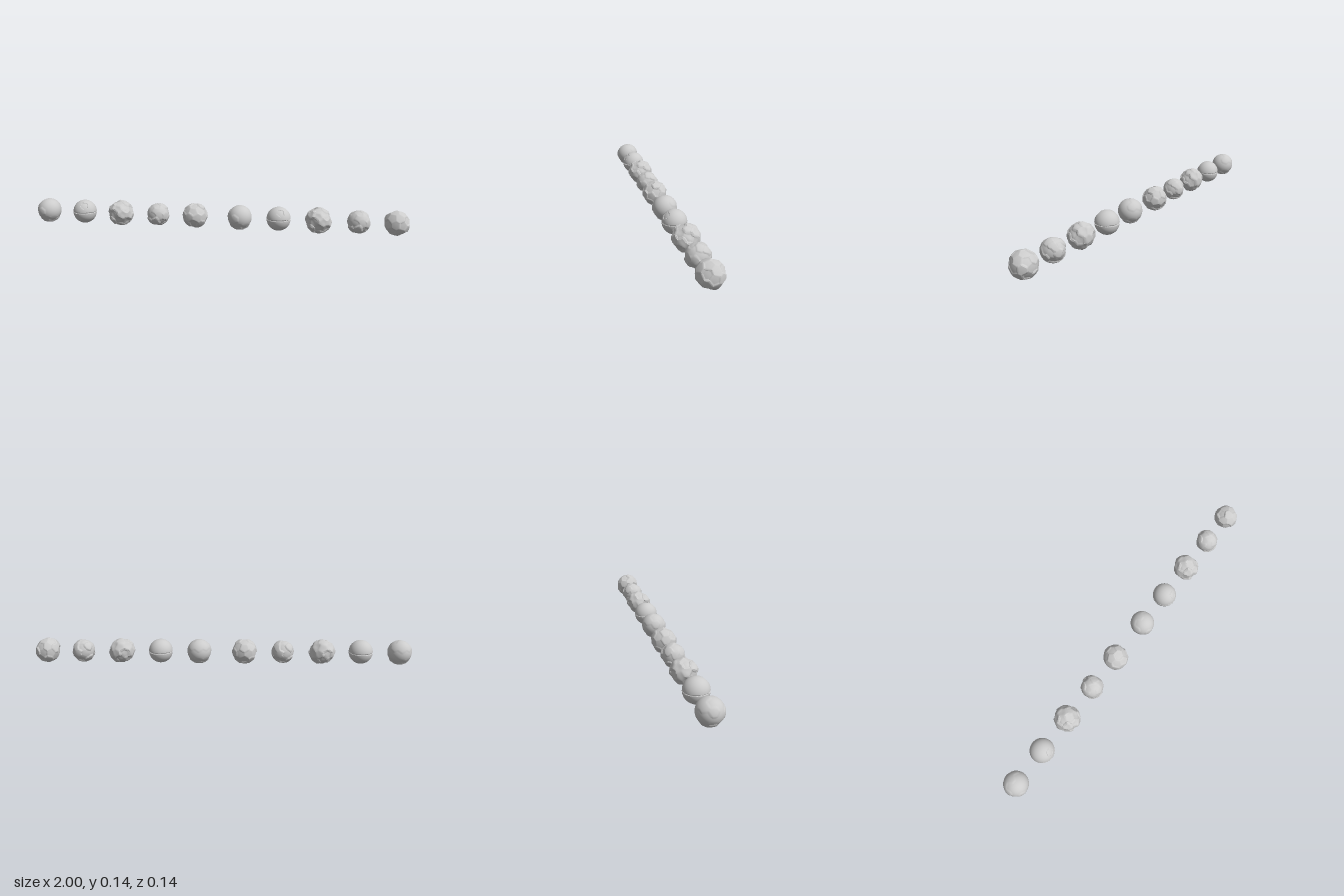
import * as THREE from 'three';
import { toCreasedNormals } from 'three/addons/utils/BufferGeometryUtils.js';

const PHI = (1 + Math.sqrt(5)) / 2;

// Small seeded generator
function seeded(seed) {
  let s = seed;
  return () => (s = (s * 16807) % 2147483647) / 2147483647;
}

// 32 plate centres: 12 pentagons and 20 hexagons
function plateCentres() {
  const out = [];
  const add = (x, y, z) => out.push(new THREE.Vector3(x, y, z).normalize());
  for (const a of [-1, 1]) for (const b of [-1, 1]) {
    add(0, a, b * PHI); add(a, b * PHI, 0); add(b * PHI, 0, a);
    add(0, a * PHI, b / PHI); add(a * PHI, b / PHI, 0); add(b / PHI, 0, a * PHI);
    for (const c of [-1, 1]) add(a, b, c);
  }
  return out;
}
const centres = plateCentres();

// Height of the plated shell in a direction; edges between plates are short ramps
function plated(dir, heights, flat, ramp) {
  let i1 = 0, i2 = 0, d1 = -2, d2 = -2;
  centres.forEach((c, i) => {
    const d = c.dot(dir);
    if (d > d1) { d2 = d1; i2 = i1; d1 = d; i1 = i; }
    else if (d > d2) { d2 = d; i2 = i; }
  });
  const surface = (i, d) => heights[i] * (1 + flat * (0.965 / d - 1));
  const a = surface(i1, d1), b = surface(i2, d2);
  const t = THREE.MathUtils.smoothstep(d1 - d2, 0, ramp);
  return THREE.MathUtils.lerp((a + b) / 2, a, t);
}

// Sphere whose vertices are moved to the radius given by a rule
function shapedSphere(rule) {
  const geo = new THREE.IcosahedronGeometry(1, 24);
  const p = geo.attributes.position, v = new THREE.Vector3();
  for (let i = 0; i < p.count; i++) {
    v.fromBufferAttribute(p, i).normalize();
    v.multiplyScalar(rule(v) * 100);
    p.setXYZ(i, v.x, v.y, v.z);
  }
  const out = toCreasedNormals(geo, 0.35);
  out.scale(0.01, 0.01, 0.01);
  return out;
}

// Mostly smooth ball with a few raised plates and a pointed underside
function chippedBall() {
  const patch = new THREE.Vector3(-0.25, -0.2, 0.95).normalize();
  const heights = centres.map((c) => {
    if (c.y < -0.7) return 0.067;
    if (c.dot(patch) > 0.93) return 0.0655;
    if (c.z < -0.3 && c.y > 0.3) return 0.0645;
    if (c.x < -0.7 && c.y > 0) return 0.065;
    return 0.063;
  });
  return shapedSphere((d) => plated(d, heights, d.y < -0.4 ? 0.25 : 0, 0.05));
}

// Smooth ball with an equatorial groove and a sunken pentagon
function groovedBall() {
  const dish = new THREE.Vector3(0.2, 0.64, 0.74).normalize();
  const side = new THREE.Vector3(1, 0, 0).cross(dish).normalize();
  const across = new THREE.Vector3().crossVectors(side, dish);
  return shapedSphere((d) => {
    if (Math.abs(d.y) < 0.035) return 0.0605;
    if (d.dot(dish) > 0.85) {
      const a = Math.atan2(d.dot(across), d.dot(side)) + Math.PI * 2;
      const wedge = (a % (Math.PI * 0.4)) - Math.PI * 0.2;
      const reach = Math.hypot(d.dot(across), d.dot(side)) * Math.cos(wedge);
      if (reach < 0.28) return 0.0605;
    }
    return 0.063;
  });
}

// Plated ball with random plate levels and optional rolling lumps
function platedBall(seed, levels, flat, ramp, warp, lump) {
  const rand = seeded(seed);
  const heights = centres.map(() => levels[Math.floor(rand() * levels.length)]);
  const q = new THREE.Vector3();
  return shapedSphere((d) => {
    q.set(
      d.x + warp * Math.sin(9 * d.y + seed),
      d.y + warp * Math.sin(9 * d.z + 2),
      d.z + warp * Math.sin(9 * d.x + 4)
    ).normalize();
    const roll = Math.sin(6 * d.x + seed) * Math.sin(6 * d.y + 1) * Math.sin(6 * d.z + 2);
    return plated(q, heights, flat, ramp) + lump * roll;
  });
}

export function createModel() {
  const group = new THREE.Group();
  const material = new THREE.MeshStandardMaterial({ color: 0xcccccc });

  const chipped = chippedBall();
  const grooved = groovedBall();
  const lumpy = platedBall(517, [0.061, 0.065, 0.068, 0.07], 0.3, 0.07, 0.03, 0.003);
  const cracked = platedBall(2311, [0.056, 0.058, 0.0605, 0.062], 0.2, 0.05, 0.08, 0);
  const panelled = platedBall(907, [0.061, 0.064, 0.067], 0.6, 0.05, 0.02, 0);
  const panelledEnd = platedBall(4421, [0.06, 0.063, 0.066], 0.6, 0.05, 0, 0);

  // Two runs of five balls in one row
  const row = [
    ['chippedBall', chipped, -0.937], ['groovedBall', grooved, -0.732],
    ['lumpyBall', lumpy, -0.527], ['crackedBall', cracked, -0.32],
    ['panelledBall', panelled, -0.115], ['chippedBall', chipped, 0.125],
    ['groovedBall', grooved, 0.33], ['lumpyBall', lumpy, 0.537],
    ['crackedBall', cracked, 0.741], ['panelledEndBall', panelledEnd, 0.933],
  ];
  for (const [name, geo, x] of row) {
    const ball = new THREE.Mesh(geo, material);
    ball.name = name;
    ball.position.set(x, 0.071, 0);
    group.add(ball);
  }
  // Turn a pentagon of the last ball outwards
  group.children[9].rotation.y = -0.55;
  return group;
}
